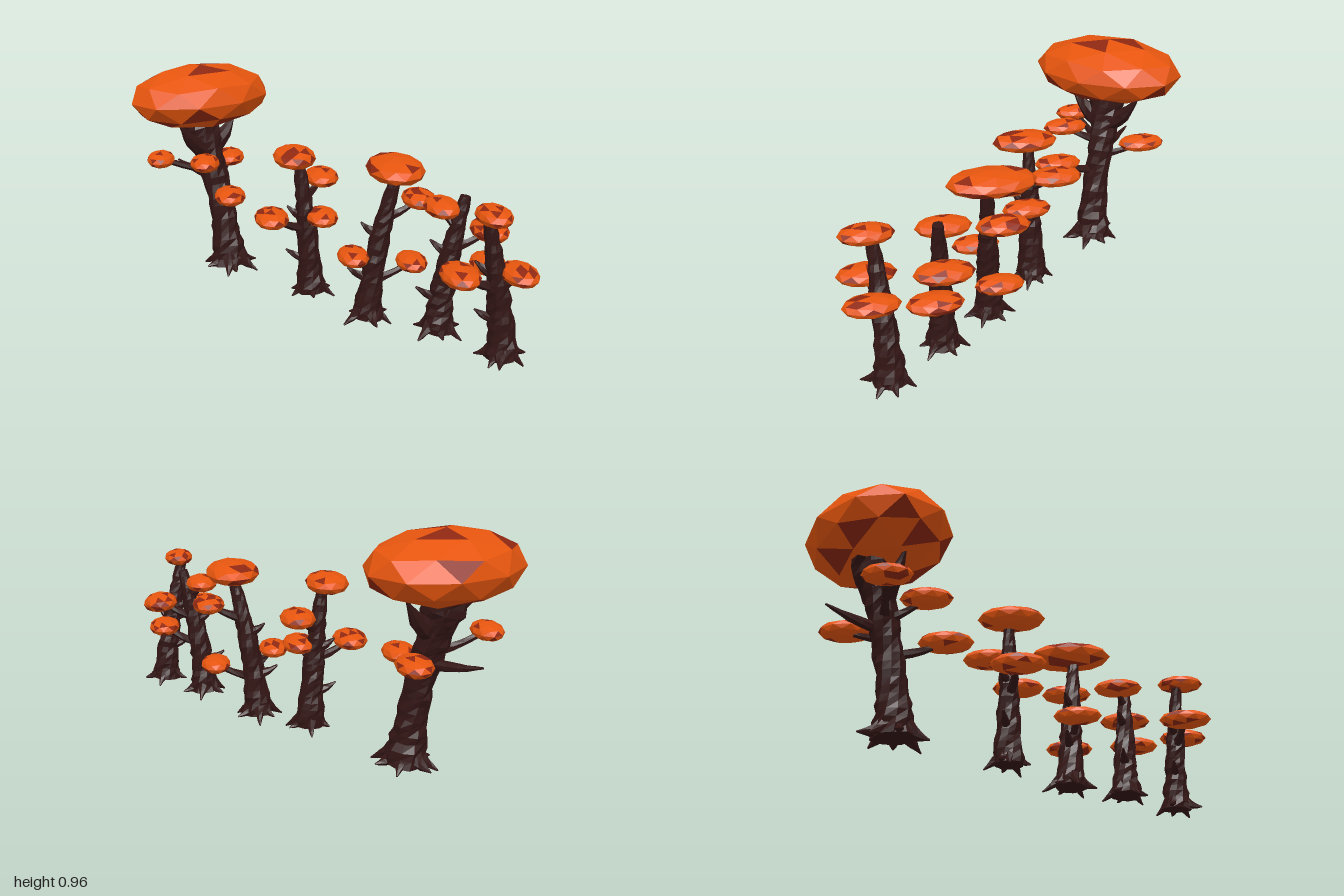
import * as THREE from 'three';

const paint = (color) => new THREE.MeshStandardMaterial({ color, flatShading: true });
const bark = paint(0x331615), leaf = paint(0xe6550e), rust = paint(0x8f2812);

// Repeatable noise in 0..1
let seed = 7;
const rand = () => {
  seed = (seed * 16807) % 2147483647;
  return seed / 2147483647;
};

// Gnarled limb: rings along a curve, radii spaced evenly, both ends closed
function limb(name, points, radii, rings, sides) {
  const curve = new THREE.CatmullRomCurve3(points);
  const { normals, binormals } = curve.computeFrenetFrames(rings);
  const pos = [], index = [];
  for (let k = -1; k <= rings + 1; k++) {
    const i = Math.min(Math.max(k, 0), rings), t = i / rings;
    const f = t * (radii.length - 1), a = Math.min(Math.floor(f), radii.length - 2);
    const base = k === i ? THREE.MathUtils.lerp(radii[a], radii[a + 1], f - a) : 0;
    const c = curve.getPoint(t);
    for (let j = 0; j < sides; j++) {
      const ang = (j / sides) * Math.PI * 2 + i * 0.08;
      const r = base * (0.88 + 0.24 * rand());
      const p = c.clone().addScaledVector(normals[i], Math.cos(ang) * r).addScaledVector(binormals[i], Math.sin(ang) * r);
      pos.push(p.x, p.y, p.z);
    }
  }
  for (let k = 0; k < rings + 2; k++) {
    for (let j = 0; j < sides; j++) {
      const a = k * sides + j, b = k * sides + ((j + 1) % sides);
      index.push(a, b, b + sides, a, b + sides, a + sides);
    }
  }
  const g = new THREE.BufferGeometry();
  g.setAttribute('position', new THREE.Float32BufferAttribute(pos, 3));
  g.setIndex(index);
  g.computeVertexNormals();
  const mesh = new THREE.Mesh(g, bark);
  mesh.name = name;
  return mesh;
}

// Flattened faceted foliage, some facets in a darker tone
function foliage(name, centre, rx, ry, rz, turn) {
  const group = new THREE.Group();
  group.name = name;
  const src = new THREE.IcosahedronGeometry(1, 1).rotateZ(-0.5536).scale(rx, ry, rz).getAttribute('position');
  const light = [], dark = [];
  for (let i = 0; i < src.count; i += 3) {
    const list = rand() < 0.16 ? dark : light;
    for (let k = i; k < i + 3; k++) list.push(src.getX(k), src.getY(k), src.getZ(k));
  }
  const addPart = (part, list, material) => {
    const g = new THREE.BufferGeometry();
    g.setAttribute('position', new THREE.Float32BufferAttribute(list, 3));
    g.computeVertexNormals();
    const mesh = new THREE.Mesh(g, material);
    mesh.name = part;
    group.add(mesh);
  };
  addPart('leaves', light, leaf);
  addPart('darkLeaves', dark, rust);
  group.position.copy(centre);
  group.rotation.y = turn;
  return group;
}

// Trunk from base to tip, leaning more the higher it gets, with splayed roots
function trunk(name, base, tip, radii, roots) {
  const group = new THREE.Group();
  group.name = name;
  const at = (y) => {
    const t = Math.min(Math.max((y - base.y) / (tip.y - base.y), 0), 1);
    const p = base.clone().lerp(tip, t ** 1.5);
    p.y = base.y + (tip.y - base.y) * t;
    return p;
  };
  const path = [];
  for (let i = 0; i <= 5; i++) path.push(at(base.y + ((tip.y - base.y) * i) / 5));
  group.add(limb('trunk', path, radii, 22, 11));
  for (let i = 0; i < roots; i++) {
    const a = (i / roots) * Math.PI * 2 + rand() * 0.6, d = radii[0] * (1.35 + 0.5 * rand());
    const out = (k, y) => new THREE.Vector3(Math.cos(a) * d * k, y, Math.sin(a) * d * k).add(base);
    group.add(limb('root', [out(0.2, 0.05), out(0.6, 0.012), out(1, -0.018 * (i % 2))],
      [radii[0] * 0.5, radii[0] * 0.26, 0.003], 5, 6));
  }
  return { group, at };
}

// Foliage pad on an upturned branch
function addPad({ group, at }, x, y, z, size = 0.1) {
  const end = new THREE.Vector3(x, y, z), start = at(y - 0.07);
  const mid = start.clone().lerp(end, 0.5).setY(y - 0.045);
  group.add(limb('branch', [start, mid, end], [0.024, 0.015, 0.01], 5, 6));
  group.add(foliage('foliage', end, size * 0.73, 0.018 + size * 0.2, size * 1.14, -0.72));
}

// Bare pointed twig; angle 0 points to +x, a right angle to +z
function addTwig({ group, at }, angle, y, length, rise = 0.05, thick = 0.026) {
  const start = at(y - rise);
  const out = new THREE.Vector3(Math.cos(angle), 0, Math.sin(angle));
  const mid = start.clone().addScaledVector(out, length * 0.6).setY(y - rise * 0.55);
  const end = start.clone().addScaledVector(out, length).setY(y);
  group.add(limb('twig', [start, mid, end], [thick, thick * 0.6, 0.004], 6, 7));
}

// Slim tree with two bare twigs
function slimTree(name, base, tip) {
  const tree = trunk(name, base, tip, [0.063, 0.048, 0.042, 0.032, 0.021], 6);
  addTwig(tree, -2.3, 0.24, 0.1);
  addTwig(tree, -2.1, 0.43, 0.08);
  return tree;
}

export function createModel() {
  const model = new THREE.Group();
  model.name = 'treeRow';
  const P = (x, y, z) => new THREE.Vector3(x, y, z);

  const front = slimTree('frontTree', P(0.015, 0.045, 0.84), P(-0.07, 0.61, 0.8));
  addPad(front, -0.07, 0.62, 0.825, 0.09);
  addPad(front, 0.005, 0.395, 0.9, 0.093);
  addPad(front, -0.155, 0.4, 0.75);

  const second = slimTree('secondTree', P(0.025, 0.055, 0.545), P(0.08, 0.61, 0.615));
  addPad(second, 0.04, 0.56, 0.535, 0.095);
  addPad(second, 0.155, 0.47, 0.68);
  addPad(second, 0.125, 0.345, 0.7, 0.095);

  const middle = slimTree('middleTree', P(0.005, 0.021, 0.215), P(0.07, 0.64, 0.3));
  addPad(middle, 0.08, 0.655, 0.285, 0.158);
  addPad(middle, 0.17, 0.52, 0.34, 0.095);
  addPad(middle, 0.145, 0.252, 0.33, 0.088);
  addPad(middle, -0.07, 0.305, 0.195, 0.088);

  const fourth = slimTree('fourthTree', P(0.01, 0.05, -0.1), P(-0.03, 0.65, -0.13));
  addPad(fourth, -0.05, 0.655, -0.135, 0.122);
  addPad(fourth, 0.11, 0.535, -0.125);
  addPad(fourth, 0.02, 0.395, -0.045, 0.093);
  addPad(fourth, -0.15, 0.405, -0.175);

  // Tallest tree: trunk forks into boughs that hold a broad crown
  const great = trunk('greatTree', P(0.02, 0.045, -0.605), P(0, 0.73, -0.765), [0.083, 0.06, 0.056, 0.063, 0.085], 8);
  addPad(great, -0.13, 0.56, -0.59, 0.09);
  addPad(great, -0.2, 0.555, -0.8, 0.085);
  addPad(great, 0.18, 0.495, -0.755, 0.095);
  addPad(great, -0.095, 0.425, -0.475, 0.095);
  for (let i = 0; i < 4; i++) addTwig(great, (-i * Math.PI) / 3, 0.72, i % 3 ? 0.11 : 0.17, 0.16, 0.05);
  addTwig(great, -Math.PI / 2, 0.485, 0.25, 0.04);
  great.group.add(foliage('crown', P(0, 0.822, -0.74), 0.345, 0.137, 0.26, 0));

  [front, second, middle, fourth, great].forEach((tree) => model.add(tree.group));
  return model;
}
